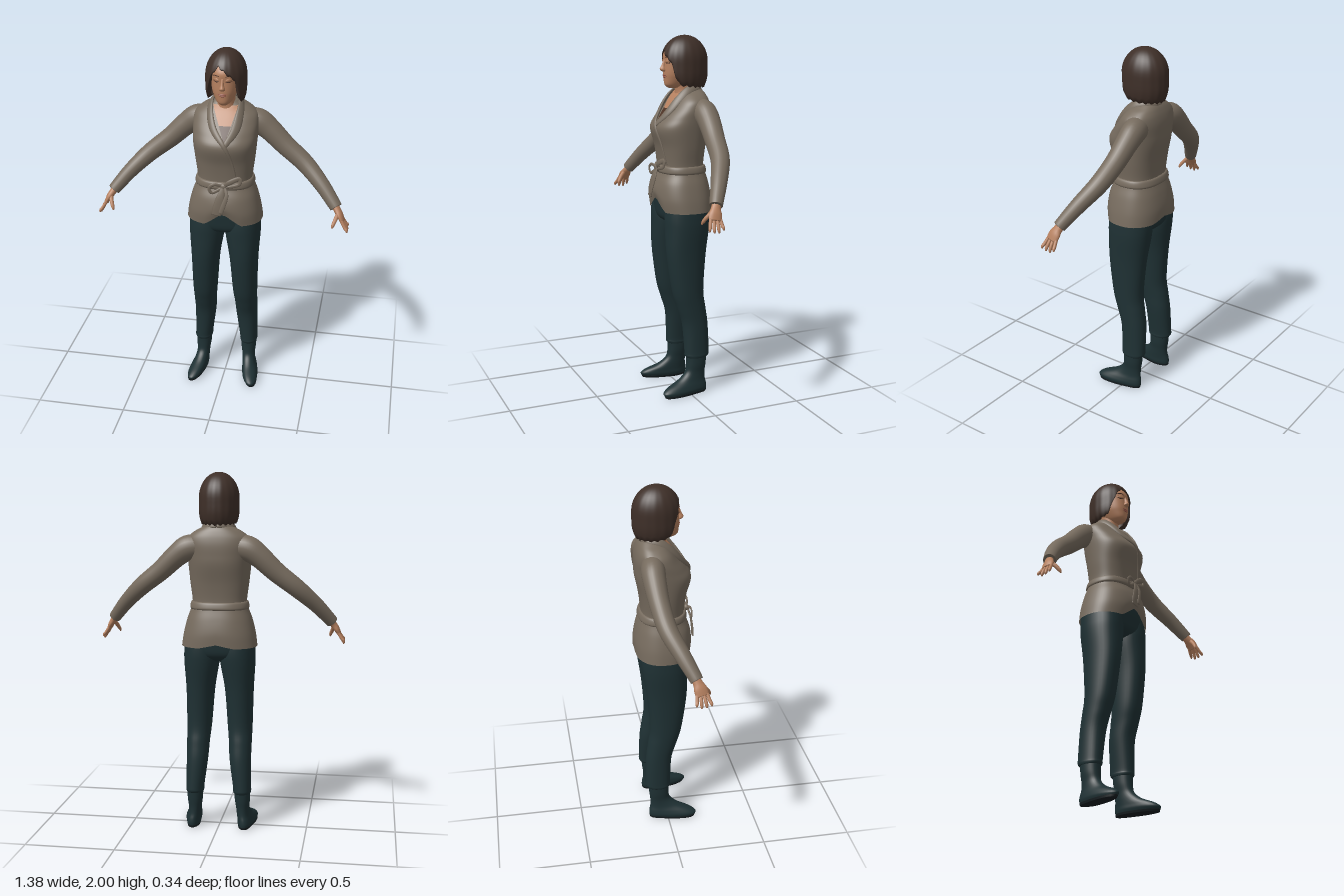
import * as THREE from 'three';

const V = (x, y, z) => new THREE.Vector3(x, y, z);
const mat = (name, color, side = THREE.FrontSide) => Object.assign(new THREE.MeshStandardMaterial({ color, side }), { name });

// Smoothly subdivides rows of numbers (Catmull-Rom on every column).
function fine(rows, n = 6) {
  const out = [], at = i => rows[Math.max(0, Math.min(rows.length - 1, i))];
  for (let i = 0; i < rows.length - 1; i++) for (let k = 0; k < n; k++) {
    const t = k / n;
    out.push(rows[i].map((b, c) => {
      const a = at(i - 1)[c], d = at(i + 1)[c], e = at(i + 2)[c];
      return b + 0.5 * t * (d - a + t * (2 * a - 5 * b + 4 * d - e + t * (3 * (b - d) + e - a)));
    }));
  }
  out.push(rows[rows.length - 1].slice());
  return out;
}

// Skins a list of rings, with optional caps.
function loft(rings, capA = true, capB = true) {
  const n = rings[0].length, pts = rings.flat(), index = [], last = (rings.length - 1) * n;
  for (let j = 0; j < rings.length - 1; j++) for (let i = 0; i < n; i++) {
    const a = j * n + i, b = j * n + (i + 1) % n;
    index.push(a, a + n, b, b, a + n, b + n);
  }
  const centre = ring => ring.reduce((s, p) => s.add(p), V(0, 0, 0)).divideScalar(n);
  if (capA) { pts.push(centre(rings[0])); for (let i = 0; i < n; i++) index.push(pts.length - 1, i, (i + 1) % n); }
  if (capB) { pts.push(centre(rings[rings.length - 1])); for (let i = 0; i < n; i++) index.push(pts.length - 1, last + (i + 1) % n, last + i); }
  const g = new THREE.BufferGeometry().setFromPoints(pts);
  g.setIndex(index);
  g.computeVertexNormals();
  return g;
}

// Horizontal sections, rows of [y, centre x, half width, front z, back z], upwards.
function stack(rows, { seg = 32, p = 2.2, capA = true, capB = true, warp } = {}) {
  const pw = v => Math.sign(v) * Math.abs(v) ** (2 / p);
  return loft(fine(rows).map(([y, cx, hw, zf, zb]) => Array.from({ length: seg }, (_, i) => {
    const a = i / seg * Math.PI * 2;
    const q = V(cx + hw * pw(Math.cos(a)), y, (zf + zb) / 2 + (zf - zb) / 2 * pw(Math.sin(a)));
    if (warp) warp(q);
    return q;
  })), capA, capB);
}

// Front z of a stack at (x, y).
function frontOf(rows, p = 2.2) {
  const f = fine(rows);
  return (x, y) => {
    let i = 0;
    while (i < f.length - 2 && f[i + 1][0] < y) i++;
    const t = THREE.MathUtils.clamp((y - f[i][0]) / (f[i + 1][0] - f[i][0]), 0, 1);
    const [, cx, hw, zf, zb] = f[i].map((v, c) => v + (f[i + 1][c] - v) * t);
    return (zf + zb) / 2 + (zf - zb) / 2 * Math.max(0, 1 - Math.abs((x - cx) / hw) ** p) ** (1 / p);
  };
}

// Sections along a path, rows of [x, y, z, half width, half thickness].
function limb(rows, up = () => V(0, 0, 1), seg = 16) {
  const f = fine(rows);
  return loft(f.map((r, j) => {
    const a = f[Math.max(0, j - 1)], b = f[Math.min(f.length - 1, j + 1)], c = V(r[0], r[1], r[2]);
    const t = V(b[0] - a[0], b[1] - a[1], b[2] - a[2]).normalize();
    const side = t.clone().cross(up(c)).normalize(), nrm = side.clone().cross(t);
    return Array.from({ length: seg }, (_, i) => {
      const w = i / seg * Math.PI * 2;
      return c.clone().addScaledVector(side, r[3] * Math.cos(w)).addScaledVector(nrm, r[4] * Math.sin(w));
    });
  }));
}

// Patch over a front surface between two edge functions of y.
function patch(y0, y1, left, right, front, offset) {
  const g = new THREE.PlaneGeometry(1, 1, 10, 10), pos = g.attributes.position;
  for (let i = 0; i < pos.count; i++) {
    const y = y0 + (pos.getY(i) + 0.5) * (y1 - y0), x = left(y) + (pos.getX(i) + 0.5) * (right(y) - left(y));
    pos.setXYZ(i, x, y, front(x, y) + offset);
  }
  g.computeVertexNormals();
  return g;
}

export function createModel() {
  const model = new THREE.Group();
  model.name = 'standingWoman';
  const knit = mat('taupeKnit', 0x766b5e, THREE.DoubleSide), skin = mat('skin', 0xb5805f), hairMat = mat('brownHair', 0x3e2f28, THREE.DoubleSide);
  const cloth = mat('darkTealCloth', 0x1f3134), soleMat = mat('darkSole', 0x161d20), shirtMat = mat('brownShirt', 0x4d3325, THREE.DoubleSide);
  const lipMat = mat('lips', 0x9c5c4c), lashMat = mat('lashes', 0x4a3026);
  const add = (name, g, m) => { const o = new THREE.Mesh(g, m); o.name = name; model.add(o); return o; };

  // Cardigan body, hem raised at the front opening and the back
  const body = [[1.05, 0, .21, .14, -.165], [1.12, 0, .2, .15, -.165], [1.2, 0, .18, .14, -.152], [1.26, 0, .158, .115, -.135],
    [1.3, 0, .15, .11, -.125], [1.4, 0, .162, .122, -.135], [1.5, 0, .172, .147, -.155], [1.56, 0, .176, .115, -.158],
    [1.61, 0, .178, .075, -.157], [1.65, 0, .168, .045, -.15], [1.68, 0, .135, .02, -.14], [1.7, 0, .1, 0, -.13], [1.72, 0, .065, -.01, -.115]];
  const chest = frontOf(body, 2.4);
  add('cardiganBody', stack(body, { seg: 64, p: 2.4, capA: false, warp: q => {
    const k = THREE.MathUtils.clamp((1.2 - q.y) / .15, 0, 1);
    q.y += k * (q.z > 0 ? .075 * Math.max(0, 1 - Math.abs(q.x - .01) / .1) : .022 * Math.max(0, 1 - Math.abs(q.x) / .1));
  } }), knit);

  // Neckline with shirt and skin
  const leftEdge = y => .02 - (y - 1.53) * .5, rightEdge = y => .02 + (y - 1.53) * .3;
  add('shirt', patch(1.53, 1.61, leftEdge, rightEdge, chest, .004), shirtMat);
  add('chestSkin', patch(1.61, 1.7, leftEdge, rightEdge, chest, .004), skin);
  add('neck', stack([[1.6, 0, .055, .03, -.09], [1.68, 0, .052, .018, -.092], [1.72, 0, .048, .018, -.092], [1.78, 0, .05, .03, -.095]]), skin);

  // Shawl collar and overlapping front edge
  const outward = q => V(q.x, .05, q.z + .05);
  const onChest = (x, y, a, b) => [x, y, chest(x, y) + .006, a, b];
  add('collarLeft', limb([[0, 1.722, -.122, .022, .008], [.06, 1.722, -.09, .022, .008], [.083, 1.71, -.03, .024, .009],
    onChest(.085, 1.66, .025, .01), onChest(.068, 1.59, .023, .01), onChest(.02, 1.52, .012, .006)], outward), knit);
  add('collarRight', limb([[0, 1.722, -.122, .022, .008], [-.06, 1.722, -.09, .022, .008], [-.08, 1.71, -.03, .023, .009],
    onChest(-.075, 1.66, .022, .01), onChest(-.045, 1.59, .02, .01), onChest(.02, 1.52, .012, .007),
    onChest(.06, 1.42, .006, .004), onChest(.08, 1.31, .005, .003)], outward), knit);

  // Belt with bow and hanging ends
  const belt = [[1.258, 0, .16, .12, -.138], [1.266, 0, .164, .125, -.142], [1.282, 0, .162, .124, -.139], [1.295, 0, .157, .12, -.134], [1.3, 0, .15, .112, -.127]];
  add('belt', stack(belt, { seg: 48, p: 2.4 }), knit);
  add('beltKnot', new THREE.SphereGeometry(.02, 16, 12).scale(1, .9, .7).translate(.015, 1.285, .132), knit);
  const ribbon = (name, ...pts) => add(name, limb(pts, undefined, 10), knit);
  ribbon('bowLoopRight', [.01, 1.285, .135, .008, .004], [-.03, 1.3, .147, .009, .004], [-.06, 1.28, .15, .009, .004], [-.045, 1.25, .147, .009, .004], [.01, 1.28, .138, .008, .004]);
  ribbon('bowLoopLeft', [.015, 1.285, .135, .01, .005], [.05, 1.315, .142, .014, .005], [.1, 1.335, .13, .013, .005], [.095, 1.3, .132, .01, .004], [.02, 1.28, .138, .008, .004]);
  ribbon('bowEndWide', [.015, 1.285, .138, .01, .005], [.002, 1.23, .155, .021, .005], [-.012, 1.17, .162, .027, .005], [-.02, 1.125, .163, .026, .004]);
  ribbon('bowEndNarrow', [.02, 1.285, .138, .008, .004], [.035, 1.24, .154, .011, .004], [.018, 1.18, .165, .013, .004], [.005, 1.14, .168, .012, .004]);

  // Trouser seat
  add('trouserSeat', stack([[.965, 0, .1, .05, -.07], [1, 0, .18, .105, -.125], [1.06, 0, .198, .12, -.14], [1.14, 0, .185, .122, -.14], [1.22, 0, .14, .09, -.11]], { seg: 40, p: 2.4 }), cloth);

  for (const s of [1, -1]) {
    const n = s > 0 ? 'left' : 'right';
    const flip = rows => rows.map(([x, ...r]) => [x * s, ...r]);

    // Trouser leg
    const leg = [[.21, .135, .048, .012, -.115], [.222, .135, .051, .018, -.124], [.25, .134, .051, .018, -.125], [.4, .123, .06, .027, -.12], [.5, .12, .064, .056, -.107],
      [.6, .116, .07, .085, -.095], [.8, .11, .08, .113, -.11], [.95, .102, .097, .118, -.131], [1.02, .1, .099, .118, -.137], [1.1, .1, .095, .11, -.135]];
    add(n + 'TrouserLeg', stack(leg.map(([y, x, ...r]) => [y, x * s, ...r])), cloth);

    // Boot turned slightly outwards, with its sole
    const boot = [[.012, .147, .042, .16, -.106], [.028, .147, .046, .165, -.108], [.05, .145, .043, .135, -.106], [.08, .14, .038, .065, -.1],
      [.12, .137, .037, .018, -.1], [.17, .136, .043, .008, -.106], [.24, .135, .045, .008, -.112]];
    const turn = q => { q.x += s * .17 * Math.max(0, q.z + .04) * Math.max(0, 1 - q.y / .14); };
    add(n + 'Boot', stack(boot.map(([y, x, ...r]) => [y, x * s, ...r]), { warp: turn }), cloth);
    add(n + 'Sole', stack([[0, .147 * s, .04, .155, -.104], [.013, .147 * s, .043, .161, -.107]], { warp: turn }), soleMat);

    // Sleeve
    add(n + 'Sleeve', limb(flip([[.09, 1.6, -.07, .065, .06], [.165, 1.592, -.08, .07, .064], [.23, 1.548, -.08, .062, .06], [.32, 1.465, -.07, .055, .054],
      [.43, 1.378, -.048, .05, .05], [.53, 1.285, .006, .042, .043], [.6, 1.205, .052, .036, .036], [.618, 1.183, .064, .034, .034]]), undefined, 24), knit);

    // Hand with four fingers and a thumb
    const palmUp = () => V(.85 * s, .5, 0);
    add(n + 'Palm', limb(flip([[.605, 1.2, .052, .024, .02], [.625, 1.17, .068, .026, .019], [.642, 1.145, .078, .035, .017], [.658, 1.115, .086, .035, .012]]), palmUp), skin);
    for (let i = 0; i < 4; i++) {
      const d = i - 1.5, drop = [.012, 0, .002, .01][i];
      add(n + 'Finger' + (i + 1), limb(flip([[.652, 1.125, .084 + d * .017, .009, .009], [.673, 1.092, .088 + d * .022, .009, .009],
        [.683, 1.07 + drop, .09 + d * .025, .008, .008], [.686, 1.058 + drop, .09 + d * .026, .004, .004]]), palmUp, 10), skin);
    }
    add(n + 'Thumb', limb(flip([[.632, 1.158, .085, .014, .012], [.62, 1.13, .113, .011, .011], [.61, 1.105, .13, .009, .009], [.606, 1.09, .136, .004, .004]]), palmUp, 10), skin);
  }

  // Head and face
  const head = [[1.718, 0, .02, .06, 0], [1.735, 0, .041, .079, -.05], [1.77, 0, .06, .084, -.09], [1.8, 0, .07, .086, -.11],
    [1.85, 0, .077, .084, -.13], [1.9, 0, .077, .083, -.135], [1.95, 0, .058, .046, -.11], [1.98, 0, .025, 0, -.07]];
  const face = frontOf(head);
  add('head', stack(head, { seg: 40 }), skin);
  add('nose', stack([[1.806, 0, .008, .092, .07], [1.812, 0, .016, .103, .07], [1.822, 0, .015, .109, .07], [1.84, 0, .009, .1, .07], [1.872, 0, .007, .086, .07]], { seg: 16, p: 2 }), skin);
  const stroke = (name, x0, x1, y, bend, w, m) => add(name, limb([0, .25, .5, .75, 1].map(t => {
    const x = x0 + (x1 - x0) * t, k = Math.sin(Math.PI * t), yy = y + bend * k;
    return [x, yy, face(x, yy), .0005 + w * k, .0005 + .0035 * k];
  }), undefined, 8), m);
  stroke('upperLip', -.026, .026, 1.786, .001, .004, lipMat);
  stroke('lowerLip', -.022, .022, 1.78, -.003, .005, lipMat);
  for (const s of [1, -1]) {
    stroke('eyelid', s * .015, s * .05, 1.86, .004, .009, skin);
    stroke('lashLine', s * .014, s * .052, 1.857, -.005, .002, lashMat);
    stroke('eyebrow', s * .013, s * .058, 1.88, .006, .002, lashMat);
  }

  // Bobbed hair with a side-swept fringe: lower edge height by angle from the front
  const edge = [[-180, 1.72], [-100, 1.725], [-62, 1.74], [-50, 1.8], [-38, 1.87], [-15, 1.93], [0, 1.915], [20, 1.885], [36, 1.86], [48, 1.78], [60, 1.735], [100, 1.725], [180, 1.72]];
  const edgeAt = d => {
    const i = Math.max(1, edge.findIndex(e => e[0] >= d)), [a, b] = [edge[i - 1], edge[i]];
    return a[1] + (b[1] - a[1]) * (d - a[0]) / (b[0] - a[0]) + .005 * Math.sin(d * .35);
  };
  const hairRings = [];
  for (let j = 0; j <= 21; j++) hairRings.push(Array.from({ length: 96 }, (_, i) => {
    const a = (i / 96 * 2 - 1) * Math.PI, e = edgeAt(a * 180 / Math.PI), t = Math.max(.02, Math.min(1, j / 20));
    const y = 2 - (2 - e) * t * t;
    let r = y > 1.86 ? Math.sqrt(1 - ((y - 1.86) / .14) ** 2) : 1 - .15 * (Math.max(0, 1.8 - y) / .08) ** 2;
    r *= 1 + .008 * t * Math.sin(a * 17);
    const tuck = j > 20 ? .8 : 1;
    return V(.11 * r * tuck * Math.sin(a), y + (j > 20 ? .012 : 0), -.035 + .13 * r * tuck * Math.cos(a));
  }));
  add('hair', loft(hairRings, true, false), hairMat);

  return model;
}
